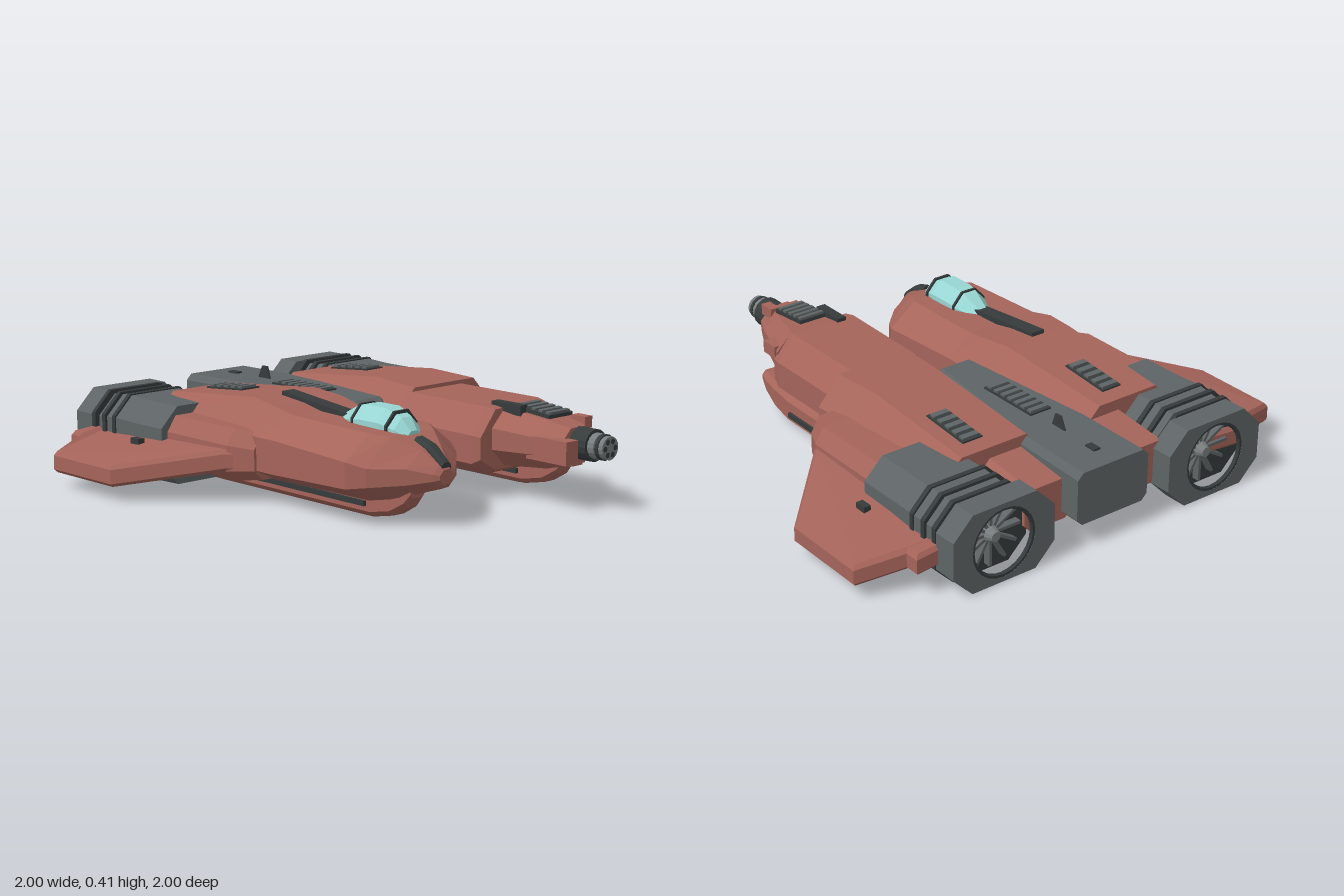
import * as THREE from 'three';

const mat = (name, color) => Object.assign(new THREE.MeshStandardMaterial({ color, flatShading: true }), { name });
const red = mat('hull red', 0xa5645a);
const grey = mat('engine grey', 0x5e6465);
const dark = mat('dark trim', 0x363b3c);
const glass = mat('canopy cyan', 0x98d6d3);
const metal = mat('gun metal', 0x777d7e);

function add(parent, name, geo, material, x = 0, y = 0, z = 0) {
  const m = new THREE.Mesh(geo, material);
  m.name = name;
  m.position.set(x, y, z);
  parent.add(m);
  return m;
}
// box given by its limits
const block = (p, name, m, x0, x1, y0, y1, z0, z1) =>
  add(p, name, new THREE.BoxGeometry(x1 - x0, y1 - y0, z1 - z0), m, (x0 + x1) / 2, (y0 + y1) / 2, (z0 + z1) / 2);

// chamfered section: x, z range, y range, side chamfer, top and bottom chamfer heights
const ring = ([x, z0, z1, y0, y1, c = 0.05, t = c, b = c]) => [
  [x, y0 + b, z1], [x, y1 - t, z1], [x, y1, z1 - c], [x, y1, z0 + c],
  [x, y1 - t, z0], [x, y0 + b, z0], [x, y0, z0 + c], [x, y0, z1 - c]];

// solid through a row of sections along x
function loft(sections, capStart = true) {
  const rings = sections.map(ring), pos = [];
  const tri = (...pts) => pts.forEach(p => pos.push(...p));
  for (let i = 0; i + 1 < rings.length; i++)
    for (let j = 0; j < 8; j++) {
      const k = (j + 1) % 8, a = rings[i][j], b = rings[i][k], c = rings[i + 1][k], d = rings[i + 1][j];
      tri(a, d, c, a, c, b);
    }
  const s = rings[0], e = rings[rings.length - 1];
  for (let j = 1; j < 7; j++) {
    if (capStart) tri(s[0], s[j], s[j + 1]);
    tri(e[0], e[j + 1], e[j]);
  }
  const g = new THREE.BufferGeometry();
  g.setAttribute('position', new THREE.Float32BufferAttribute(pos, 3));
  g.computeVertexNormals();
  return g;
}

// slatted vent lying on a top face
function vent(parent, name, x, y, z, len, wid, n, tilt) {
  const v = new THREE.Group();
  v.name = name;
  v.position.set(x, y, z);
  v.rotation.z = tilt;
  block(v, 'ventBed', dark, -len / 2, len / 2, -0.01, 0.004, -wid / 2, wid / 2);
  for (let i = 0; i < n; i++) {
    const c = -len / 2 + len * (i + 0.5) / n;
    block(v, 'ventSlat', grey, c - len / n * 0.28, c + len / n * 0.28, 0, 0.012, -wid / 2 + 0.008, wid / 2 - 0.008);
  }
  parent.add(v);
}

function makeWing() {
  const s = new THREE.Shape();
  [[-0.9, 0.5], [-0.3, 0.5], [-0.02, 0.62], [-0.11, 0.69], [-0.42, 0.988], [-0.775, 0.988], [-0.845, 0.81], [-0.9, 0.81]]
    .forEach(([x, z], i) => (i ? s.lineTo(x, z) : s.moveTo(x, z)));
  const g = new THREE.ExtrudeGeometry(s, { depth: 0.055, bevelThickness: 0.015, bevelSize: 0.012, bevelSegments: 1 });
  g.rotateX(Math.PI / 2);
  // droop towards the tip
  const p = g.attributes.position;
  for (let i = 0; i < p.count; i++)
    p.setY(i, p.getY(i) + 0.2 - Math.max(0, p.getZ(i) - 0.69) * 0.22);
  g.computeVertexNormals();
  return g;
}

function makeEngine() {
  const e = new THREE.Group(), cy = 0.17, cz = 0.505;
  e.name = 'engine';
  add(e, 'engineBody', loft([
    [-0.87, 0.33, 0.715, 0.015, 0.32, 0.08], [-0.75, 0.33, 0.725, 0.01, 0.33, 0.08],
    [-0.62, 0.33, 0.72, 0.01, 0.325, 0.08], [-0.46, 0.34, 0.72, 0.015, 0.325, 0.08]]), grey);
  [-0.885, -0.82, -0.755].forEach(x =>
    add(e, 'engineRib', loft([[x - 0.01, 0.32, 0.73, 0.008, 0.335, 0.08], [x + 0.01, 0.32, 0.73, 0.008, 0.335, 0.08]]), dark));
  // hollow rear housing
  const s = new THREE.Shape();
  ring([0, 0.275, 0.73, 0.01, 0.33, 0.085]).forEach(([, y, z], i) => (i ? s.lineTo(-z, y) : s.moveTo(-z, y)));
  const hole = new THREE.Path();
  hole.absarc(-cz, cy, 0.14, 0, Math.PI * 2, true);
  s.holes.push(hole);
  const g = new THREE.ExtrudeGeometry(s, { depth: 0.1, bevelEnabled: false, curveSegments: 12 });
  g.rotateY(Math.PI / 2);
  add(e, 'nozzleHousing', g, grey, -1, 0, 0);
  const lip = add(e, 'nozzleLip', new THREE.TorusGeometry(0.136, 0.01, 6, 24), dark, -0.99, cy, cz);
  lip.rotation.y = Math.PI / 2;
  const back = add(e, 'nozzleBack', new THREE.CircleGeometry(0.145, 24), dark, -0.895, cy, cz);
  back.rotation.y = -Math.PI / 2;
  for (let i = 0; i < 6; i++) {
    const v = add(e, 'nozzleVane', new THREE.BoxGeometry(0.03, 0.27, 0.012), grey, -0.91, cy, cz);
    v.rotation.x = i * Math.PI / 6;
  }
  const hub = add(e, 'nozzleHub', new THREE.CylinderGeometry(0.045, 0.02, 0.06, 12), metal, -0.925, cy, cz);
  hub.rotation.z = -Math.PI / 2;
  return e;
}

// parts shared by both sides, built on +z
function makeSide(name) {
  const g = new THREE.Group();
  g.name = name;
  add(g, 'wing', makeWing(), red);
  block(g, 'wingHatch', dark, -0.56, -0.51, 0.185, 0.208, 0.765, 0.795);
  g.add(makeEngine());
  add(g, 'wingRoot', loft([[-0.5, 0.45, 0.69, 0.09, 0.29, 0.04, 0.06], [-0.1, 0.45, 0.69, 0.09, 0.29, 0.04, 0.06],
    [0, 0.45, 0.64, 0.1, 0.28, 0.04, 0.06]]), red);
  add(g, 'rearFuselage', loft([[-0.91, 0.12, 0.34, 0.1, 0.27, 0.03], [-0.62, 0.12, 0.34, 0.09, 0.3, 0.03]]), red);
  // keel with a dark skid let into it
  add(g, 'keel', loft([[-0.5, 0.355, 0.46, 0.01, 0.13, 0.02], [0.44, 0.355, 0.46, 0.01, 0.13, 0.02],
    [0.54, 0.36, 0.455, 0.03, 0.14, 0.02], [0.61, 0.365, 0.45, 0.07, 0.15, 0.02], [0.64, 0.37, 0.445, 0.11, 0.16, 0.015]]), red);
  block(g, 'skid', dark, -0.45, 0.4, 0.006, 0.014, 0.385, 0.43);
  [0.35, 0.465].forEach(z => block(g, 'keelGroove', dark, -0.46, 0.42, 0.05, 0.07, z - 0.007, z + 0.007));
  return g;
}

export function createModel() {
  const ship = new THREE.Group();
  ship.name = 'twinHullShip';
  const left = makeSide('leftSide'), right = makeSide('rightSide');
  right.scale.z = -1;
  ship.add(left, right);

  // cockpit hull
  add(ship, 'cockpitHull', loft([
    [-0.67, 0.135, 0.575, 0.09, 0.34, 0.08, 0.08, 0.04], [-0.15, 0.095, 0.605, 0.09, 0.385, 0.1, 0.11, 0.04],
    [0, 0.09, 0.63, 0.09, 0.37, 0.1, 0.1, 0.05], [0.1, 0.09, 0.63, 0.09, 0.35, 0.11, 0.08, 0.05],
    [0.49, 0.09, 0.63, 0.09, 0.34, 0.12, 0.09, 0.06], [0.56, 0.13, 0.59, 0.1, 0.33, 0.12, 0.1, 0.06],
    [0.66, 0.23, 0.49, 0.13, 0.29, 0.08, 0.06, 0.04], [0.73, 0.31, 0.42, 0.155, 0.24, 0.03], [0.745, 0.33, 0.4, 0.17, 0.225, 0.02]]), red);
  add(ship, 'noseSensor', loft([[0.6, 0.335, 0.39, 0.26, 0.325, 0.012], [0.67, 0.335, 0.39, 0.2, 0.305, 0.012],
    [0.74, 0.34, 0.385, 0.2, 0.25, 0.012]]), dark);
  const spine = block(ship, 'spineStrip', dark, -0.13, 0.24, 0.355, 0.38, 0.33, 0.39);
  spine.rotation.z = -0.1;

  // canopy and its frames
  add(ship, 'canopy', loft([[0.21, 0.325, 0.395, 0.32, 0.355, 0.02], [0.31, 0.285, 0.435, 0.32, 0.405, 0.045, 0.05, 0.02],
    [0.36, 0.28, 0.44, 0.32, 0.413, 0.045, 0.05, 0.02], [0.46, 0.28, 0.44, 0.32, 0.413, 0.045, 0.05, 0.02],
    [0.53, 0.295, 0.425, 0.31, 0.385, 0.04, 0.04, 0.02], [0.57, 0.325, 0.395, 0.3, 0.34, 0.02]]), glass);
  [[0.32, 0.408], [0.5, 0.403]].forEach(([x, y]) => add(ship, 'canopyFrame',
    loft([[x - 0.005, 0.28, 0.44, 0.32, y + 0.004, 0.045, 0.05, 0.02], [x + 0.005, 0.28, 0.44, 0.32, y + 0.004, 0.045, 0.05, 0.02]]), dark));

  // gun hull
  add(ship, 'gunHullRear', loft([[-0.67, -0.52, -0.06, 0.09, 0.34, 0.08, 0.08, 0.04], [-0.15, -0.545, -0.04, 0.09, 0.385, 0.1, 0.11, 0.04],
    [0.08, -0.55, -0.02, 0.09, 0.375, 0.1, 0.11, 0.05]]), red);
  add(ship, 'gunHullFront', loft([[0.06, -0.46, -0.02, 0.1, 0.36, 0.08, 0.1, 0.05], [0.5, -0.46, -0.01, 0.1, 0.36, 0.08, 0.1, 0.05],
    [0.54, -0.45, -0.02, 0.12, 0.355, 0.08, 0.1, 0.05]]), red);
  add(ship, 'gunNose', loft([[0.53, -0.44, -0.08, 0.13, 0.355, 0.07], [0.75, -0.36, -0.1, 0.15, 0.335, 0.06],
    [0.85, -0.31, -0.13, 0.175, 0.315, 0.05]]), red);
  block(ship, 'gunCheek', red, 0.7, 0.9, 0.19, 0.28, -0.165, -0.1);
  block(ship, 'noseBump', red, 0.77, 0.84, 0.3, 0.345, -0.31, -0.27);
  block(ship, 'sideBump', red, 0.55, 0.63, 0.25, 0.3, -0.44, -0.38);
  block(ship, 'chinBump', red, 0.77, 0.84, 0.165, 0.2, -0.26, -0.2);
  vent(ship, 'gunVent', 0.66, 0.355, -0.235, 0.18, 0.13, 5, -0.09);
  block(ship, 'gunSight', dark, 0.48, 0.63, 0.335, 0.375, -0.18, -0.14);

  // gun: stepped barrel with a ring of bores
  [[0.84, 0.93, 0.062, dark], [0.92, 0.96, 0.05, metal], [0.95, 1, 0.045, metal], [0.965, 0.98, 0.05, dark]].forEach(([a, b, r, m]) => {
    add(ship, 'gunBarrel', new THREE.CylinderGeometry(r, r, b - a, 16), m, (a + b) / 2, 0.255, -0.23).rotation.z = Math.PI / 2;
  });
  for (let i = 0; i < 6; i++) {
    const a = i * Math.PI / 3;
    const bore = add(ship, 'gunBore', new THREE.CylinderGeometry(0.011, 0.011, 0.004, 8), dark, 0.999, 0.255 + 0.028 * Math.sin(a), -0.23 + 0.028 * Math.cos(a));
    bore.rotation.z = Math.PI / 2;
  }

  // centre section
  add(ship, 'centreBelly', loft([[-0.85, -0.17, 0.17, 0.1, 0.26, 0.02], [-0.62, -0.2, 0.2, 0.09, 0.27, 0.02], [0, -0.2, 0.2, 0.09, 0.27, 0.02]]), red);
  add(ship, 'centreEngine', loft([[-1, -0.17, 0.165, 0.11, 0.325, 0.025], [-0.67, -0.165, 0.16, 0.11, 0.33, 0.025],
    [-0.05, -0.08, 0.1, 0.2, 0.33, 0.025], [-0.015, -0.07, 0.09, 0.2, 0.3, 0.025]]), grey);
  vent(ship, 'centreVent', -0.42, 0.332, 0.02, 0.28, 0.1, 7, 0);
  vent(ship, 'leftVent', -0.49, 0.358, 0.335, 0.22, 0.09, 5, 0.086);
  vent(ship, 'rightVent', -0.49, 0.358, -0.335, 0.22, 0.09, 5, 0.086);
  block(ship, 'rearHatch', dark, -0.905, -0.855, 0.32, 0.334, -0.015, 0.015);
  const fin = new THREE.Shape([[-0.73, 0.32], [-0.65, 0.32], [-0.67, 0.38], [-0.7, 0.38]].map(p => new THREE.Vector2(...p)));
  add(ship, 'fin', new THREE.ExtrudeGeometry(fin, { depth: 0.008, bevelEnabled: false }), dark, 0, 0, -0.004);

  // belly hatch outline
  [0.095, -0.095].forEach(z => block(ship, 'bellySeam', dark, -0.45, -0.2, 0.087, 0.092, z - 0.003, z + 0.003));
  [-0.47, -0.18].forEach(x => block(ship, 'bellySeam', dark, x - 0.003, x + 0.003, 0.087, 0.092, -0.075, 0.075));
  return ship;
}
